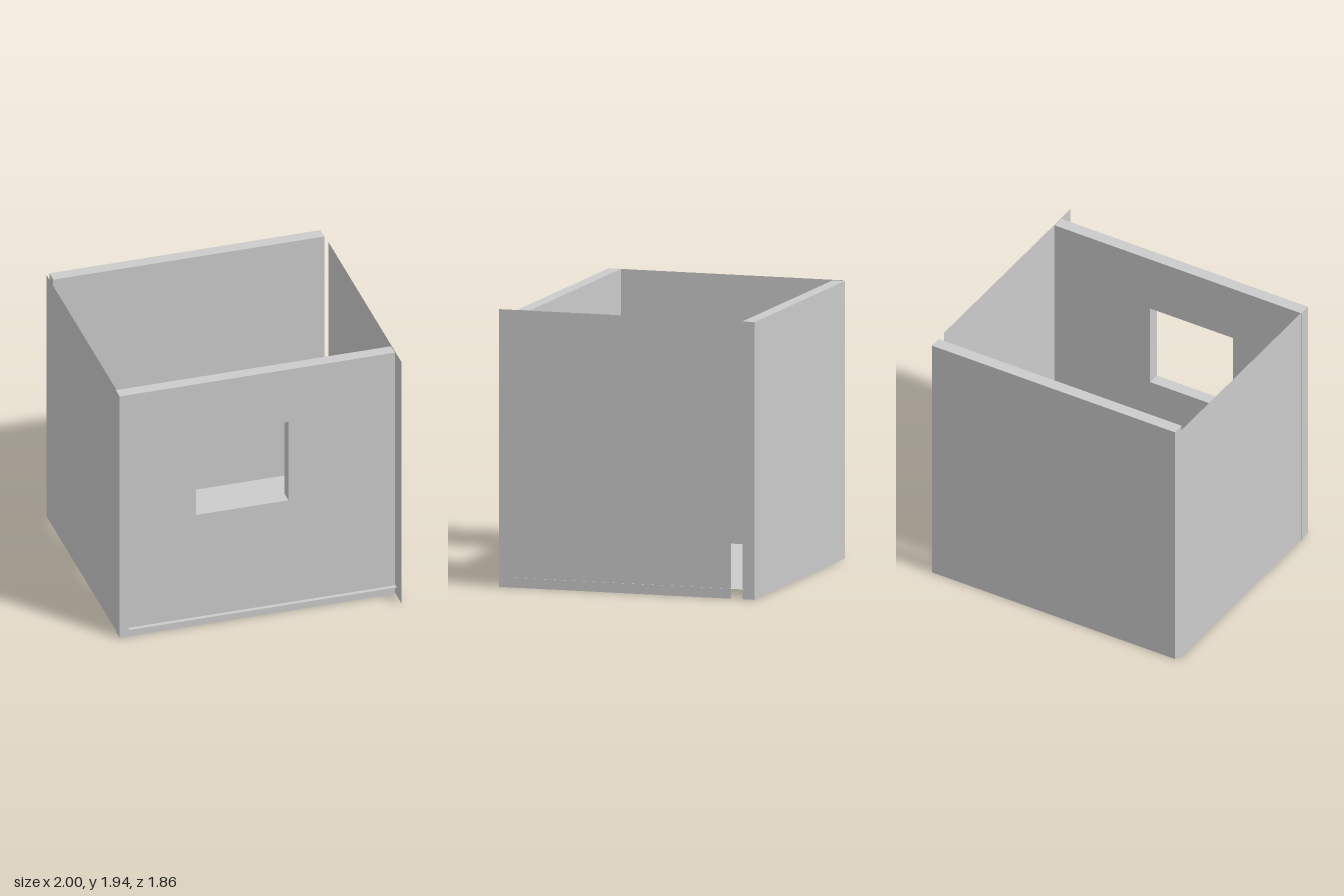
import * as THREE from 'three';

const HEIGHT = 1.94;
const THICK = 0.09;

export function createModel() {
  const group = new THREE.Group();
  const solid = new THREE.MeshStandardMaterial({ color: 0xcccccc, flatShading: true });
  const thin = new THREE.MeshStandardMaterial({ color: 0xcccccc, flatShading: true, side: THREE.DoubleSide });

  const add = (name, geometry, material, x, y, z) => {
    const mesh = new THREE.Mesh(geometry, material);
    mesh.name = name;
    mesh.position.set(x, y, z);
    group.add(mesh);
    return mesh;
  };

  // Rectangular outline, as a wall face or a window opening
  const rect = (Type, x0, x1, y0, y1) =>
    new Type([[x0, y0], [x1, y0], [x1, y1], [x0, y1]].map(([x, y]) => new THREE.Vector2(x, y)));

  // Front wall with a window opening
  const front = rect(THREE.Shape, -1, 0.99, 0, HEIGHT);
  front.holes.push(rect(THREE.Path, -0.45, 0.22, 0.89, 1.52));
  add('frontWall', new THREE.ExtrudeGeometry(front, { depth: THICK, bevelEnabled: false }), solid, 0, 0, 0.71);

  // Solid back wall
  add('backWall', new THREE.BoxGeometry(1.96, HEIGHT, THICK), solid, 0.01, HEIGHT / 2, -0.885);

  // Thin side walls, slightly offset from each other in depth
  const sideWall = (name, x, z0, z1) => {
    const wall = add(name, new THREE.PlaneGeometry(z1 - z0, HEIGHT), thin, x, HEIGHT / 2, (z0 + z1) / 2);
    wall.rotation.y = Math.sign(x) * Math.PI / 2;
  };
  sideWall('leftWall', 0.995, -0.76, 0.93);
  sideWall('rightWall', -0.995, -0.91, 0.8);

  // Thin floor, raised a little above the wall bottoms
  const floor = add('floor', new THREE.PlaneGeometry(1.94, 1.69), thin, 0.03, 0.07, -0.015);
  floor.rotation.x = -Math.PI / 2;

  return group;
}
